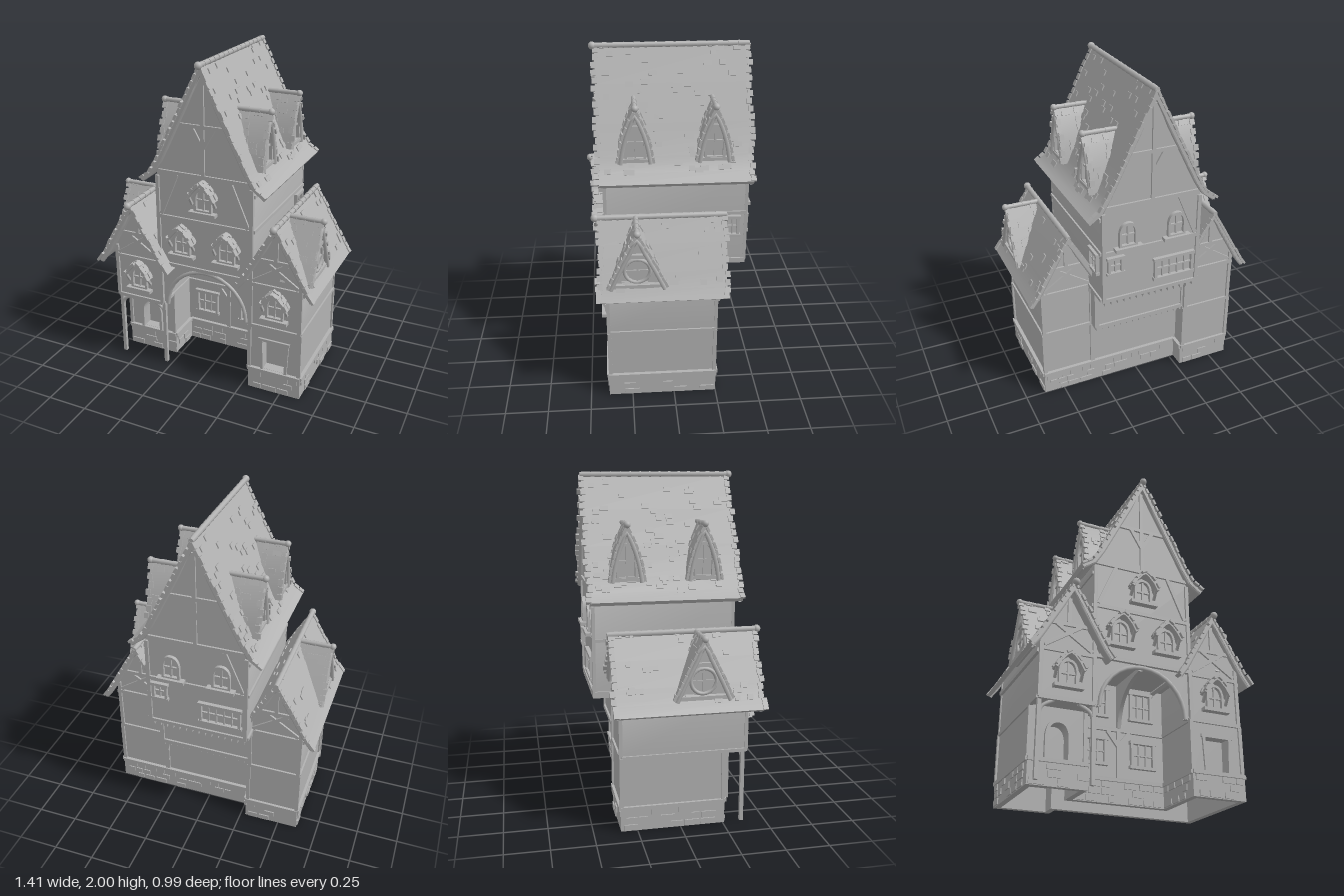
import * as THREE from 'three';
import { mergeGeometries, toCreasedNormals } from 'three/addons/utils/BufferGeometryUtils.js';

const V = (x, y, z) => new THREE.Vector3(x, y, z);
let seed = 7;
const rnd = () => (seed = (seed * 16807) % 2147483647) / 2147483647;

export function createModel() {
  const plaster = new THREE.MeshStandardMaterial({ color: 0xb2b2b2, side: THREE.DoubleSide });
  plaster.name = 'stoneGrey';
  const model = new THREE.Group();
  model.name = 'timberHouse';

  // ---- helpers ----
  const add = (parent, name, geos) => {
    const list = [].concat(geos).map(g => (g.index ? g.toNonIndexed() : g));
    const mesh = new THREE.Mesh(list.length > 1 ? mergeGeometries(list) : list[0], plaster);
    mesh.name = name;
    parent.add(mesh);
    return mesh;
  };
  const group = (parent, name) => {
    const g = new THREE.Group();
    g.name = name;
    parent.add(g);
    return g;
  };
  const box = (x0, x1, y0, y1, z0, z1) =>
    new THREE.BoxGeometry(x1 - x0, y1 - y0, z1 - z0).translate((x0 + x1) / 2, (y0 + y1) / 2, (z0 + z1) / 2);
  const poly = pts => new THREE.Shape(pts.map(p => new THREE.Vector2(p[0], p[1])));
  const slab = (shape, z0, z1) => toCreasedNormals(
    new THREE.ExtrudeGeometry(shape, { depth: z1 - z0, bevelEnabled: false, curveSegments: 10 }).translate(0, 0, z0), 0.6);
  const beam = (a, b, w = 0.026, d = w) => {
    const dir = b.clone().sub(a);
    const q = new THREE.Quaternion().setFromUnitVectors(V(0, 1, 0), dir.clone().normalize());
    return new THREE.BoxGeometry(w, dir.length(), d).applyQuaternion(q)
      .translate((a.x + b.x) / 2, (a.y + b.y) / 2, (a.z + b.z) / 2);
  };
  // timbers drawn on a wall plane, each [x0, y0, x1, y1]
  const timbers = (list, z, w) => list.map(p => beam(V(p[0], p[1], z), V(p[2], p[3], z), w, 0.02));
  const tube = (pts, r) => new THREE.TubeGeometry(new THREE.CatmullRomCurve3(pts), 16, r, 6);
  const archShape = (w, y0, ys, yp) => {
    const s = new THREE.Shape();
    s.moveTo(-w, y0); s.lineTo(w, y0); s.lineTo(w, ys);
    s.quadraticCurveTo(w * 0.85, yp, 0, yp);
    s.quadraticCurveTo(-w * 0.85, yp, -w, ys);
    s.closePath();
    return s;
  };
  // symmetric shell from a half profile running apex to eave
  const inset = (pts, t) => pts.map((p, i) => {
    const a = pts[Math.max(i - 1, 0)], b = pts[Math.min(i + 1, pts.length - 1)];
    const dx = b[0] - a[0], dy = b[1] - a[1], l = Math.hypot(dx, dy);
    return i === 0 ? [0, p[1] - t * l / dx] : [p[0] + t * dy / l, p[1] - t * dx / l];
  });
  const mirror = pts => [...pts.slice(1).reverse().map(p => [-p[0], p[1]]), ...pts];
  const shell = (pts, t, z0, z1) =>
    slab(poly([...mirror(pts), ...mirror(inset(pts, t)).reverse()]), z0, z1);
  // overlapping round ridge tiles with a ball at the front
  const ridge = (y, z0, z1, r) => {
    const n = Math.round((z1 - z0) / 0.06), len = (z1 - z0) / n, out = [];
    for (let i = 0; i < n; i++)
      out.push(new THREE.CylinderGeometry(r, r * 0.82, len * 1.08, 8).rotateX(Math.PI / 2).translate(0, y, z0 + (i + 0.5) * len));
    out.push(new THREE.SphereGeometry(r * 1.25, 10, 8).translate(0, y, z1));
    return out;
  };
  // loose shingles over the slopes and a ragged row along each gable edge
  const shingles = (pts, z0, z1, count) => {
    const out = [];
    const tile = (i, t, s, z, w, len) => {
      const a = pts[i], b = pts[i + 1];
      out.push(new THREE.BoxGeometry(len, 0.014, w)
        .rotateZ(s * Math.atan2(b[1] - a[1], b[0] - a[0]))
        .translate(s * (a[0] + (b[0] - a[0]) * t), a[1] + (b[1] - a[1]) * t, z));
    };
    for (const s of [-1, 1]) {
      for (let k = 0; k < count; k++)
        tile(Math.floor(rnd() * (pts.length - 2)), rnd(), s, z0 + 0.04 + rnd() * (z1 - z0 - 0.08), 0.025 + rnd() * 0.03, 0.03);
      for (let i = 0; i < pts.length - 1; i++) {
        const n = Math.max(1, Math.round(Math.hypot(pts[i + 1][0] - pts[i][0], pts[i + 1][1] - pts[i][1]) / 0.042));
        for (let k = 0; k < n; k++)
          for (const z of [z0, z1]) tile(i, (k + 0.5) / n, s, z + (rnd() - 0.5) * 0.02, 0.03, 0.034);
      }
    }
    return out;
  };
  const verge = (pts, z) => tube(mirror(inset(pts, 0.02)).map(p => V(p[0], p[1], z)), 0.013);

  // arched window facing +z, with an optional little gabled hood
  const archWindow = (parent, x, y, z, hooded, back) => {
    const g = group(parent, 'archedWindow');
    g.position.set(x, y, z);
    if (back) g.rotation.y = Math.PI;
    const frame = archShape(0.056, -0.085, 0.0, 0.065);
    frame.holes.push(archShape(0.042, -0.075, 0.0, 0.05));
    add(g, 'windowFrame', [slab(frame, 0, 0.022), box(-0.005, 0.005, -0.08, 0.05, 0, 0.012), box(-0.04, 0.04, -0.02, -0.01, 0, 0.012)]);
    add(g, 'windowSill', box(-0.085, 0.085, -0.105, -0.085, 0, 0.04));
    if (!hooded) return;
    const pts = [[0, 0.105], [0.03, 0.085], [0.065, 0.045], [0.09, 0.0]];
    add(g, 'windowHood', [shell(pts, 0.016, 0, 0.06), ...shingles(pts, 0.012, 0.055, 2)]);
    add(g, 'hoodBrackets', [-1, 1].map(s => beam(V(s * 0.075, -0.05, 0.005), V(s * 0.075, 0.01, 0.045), 0.014)));
  };
  const gridWindow = (parent, x, y, z, w, h, cols, ry = 0) => {
    const g = group(parent, 'squareWindow');
    g.position.set(x, y, z);
    g.rotation.y = ry;
    const out = [];
    for (const s of [-1, 1])
      out.push(box(s * w - 0.008, s * w + 0.008, -h, h, 0, 0.022), box(-w - 0.015, w + 0.015, s * h - 0.009, s * h + 0.009, 0, 0.024));
    for (let i = 1; i < cols; i++) out.push(box(-w + 2 * w * i / cols - 0.004, -w + 2 * w * i / cols + 0.004, -h, h, 0, 0.012));
    out.push(box(-w, w, -0.004, 0.004, 0, 0.012));
    add(g, 'windowBars', out);
  };

  // ---- hollow stone footing with ledge and bricks ----
  const foot = [[-0.62, 0.26], [-0.28, 0.26], [-0.28, 0.04], [0.29, 0.04], [0.29, 0.39], [0.625, 0.39],
    [0.625, -0.25], [-0.28, -0.25], [-0.28, -0.345], [-0.62, -0.345]];
  const rim = foot.map(([x, z], i) => {
    const p = foot[(i + 9) % 10], n = foot[(i + 1) % 10];
    const side = (a, b) => [-Math.sign(b[1] - a[1]), Math.sign(b[0] - a[0])];
    const u = side(p, [x, z]), v = side([x, z], n);
    return [x - (u[0] + v[0]) * 0.035, z - (u[1] + v[1]) * 0.035];
  });
  const flip = pts => pts.map(p => [p[0], -p[1]]);
  const footShape = poly(flip(foot));
  footShape.holes.push(poly(flip(rim)));
  add(model, 'stoneFooting', slab(footShape, 0, 0.14).rotateX(-Math.PI / 2));
  const bricks = [], ledge = [];
  foot.forEach(([x, z], i) => {
    const [nx, nz] = foot[(i + 1) % 10], len = Math.hypot(nx - x, nz - z);
    ledge.push(beam(V(x, 0.138, z), V(nx, 0.138, nz), 0.022));
    for (let row = 0; row < 3; row++)
      for (let d = 0.01 + rnd() * 0.03; d < len - 0.06;) {
        const w = 0.04 + rnd() * 0.05, t = (d + w / 2) / len;
        if (rnd() < 0.6) bricks.push(new THREE.BoxGeometry(Math.min(w, len - d), 0.034, 0.014)
          .rotateY(Math.atan2(z - nz, nx - x)).translate(x + (nx - x) * t, 0.022 + row * 0.043, z + (nz - z) * t));
        d += w + 0.012;
      }
  });
  add(model, 'footingLedge', ledge);
  add(model, 'footingBricks', bricks);

  // ---- side wings: porch wing on -x, doorway wing on +x ----
  const wingRoof = [[0, 1.11], [0.08, 0.975], [0.16, 0.835], [0.205, 0.755], [0.245, 0.7]];
  const wings = [
    { name: 'porchWing', s: -1, back: -0.34, low: 0.25, r0: -0.375, r1: 0.46, dormer: 0.12, arched: true },
    { name: 'doorWing', s: 1, back: -0.24, low: 0.38, r0: -0.295, r1: 0.42, dormer: 0.21, arched: false },
  ];
  for (const w of wings) {
    const g = group(model, w.name);
    g.position.x = w.s * 0.455;
    const lower = poly([[-0.16, 0.14], [0.16, 0.14], [0.16, 0.44], [-0.16, 0.44]]);
    lower.holes.push(w.arched ? archShape(0.06, 0.15, 0.28, 0.35) : poly([[-0.07, 0.15], [0.07, 0.15], [0.075, 0.35], [-0.075, 0.35]]));
    add(g, 'groundFloorFront', slab(lower, w.low - 0.06, w.low));
    add(g, 'groundFloor', box(-0.16, 0.16, 0.14, 0.44, w.back, w.low - 0.06));
    add(g, 'upperFloor', slab(poly([[-0.16, 0.44], [0.16, 0.44], [0.16, 0.79], [0, 1.07], [-0.16, 0.79]]), w.back, 0.38));
    if (w.arched) {
      const ring = archShape(0.075, 0.14, 0.28, 0.37);
      ring.holes.push(archShape(0.058, 0.145, 0.28, 0.35));
      add(g, 'doorFrame', slab(ring, w.low, w.low + 0.02));
      add(g, 'porchPosts', [-0.15, 0.16].flatMap(x => [beam(V(x, 0, 0.365), V(x, 0.44, 0.365), 0.022),
        tube([V(x, 0.31, 0.365), V(x * 0.9, 0.39, 0.365), V(x * 0.45, 0.435, 0.365)], 0.011)]));
    } else {
      add(g, 'doorFrame', timbers([[-0.075, 0.14, -0.085, 0.36], [0.075, 0.14, 0.085, 0.36], [-0.1, 0.355, 0.1, 0.355]], 0.382, 0.018));
    }
    const gable = [[-0.16, 0.44, 0.16, 0.44], [-0.16, 0.72, 0.16, 0.72], [-0.105, 0.885, 0.105, 0.885], [0, 0.89, 0, 1.05],
      [-0.155, 0.44, -0.155, 0.79], [0.155, 0.44, 0.155, 0.79], [-0.14, 0.74, 0.07, 0.88], [0.14, 0.74, -0.07, 0.88]];
    add(g, 'gableTimbers', [...timbers(gable, 0.382, 0.022), ...timbers(gable, w.back - 0.002, 0.022)]);
    const sides = [];
    for (const x of [-0.16, 0.16]) {
      sides.push(beam(V(x, 0.44, w.back), V(x, 0.44, 0.38), 0.02));
      for (const z of [w.back, w.low]) sides.push(beam(V(x, 0.14, z), V(x, 0.44, z), 0.022));
    }
    sides.push(beam(V(w.s * 0.165, 0.705, w.back), V(w.s * 0.165, 0.705, 0.38), 0.024));
    add(g, 'wallTimbers', sides);
    archWindow(g, 0, 0.605, 0.38, true);
    add(g, 'wingRoof', shell(wingRoof, 0.022, w.r0, w.r1));
    add(g, 'wingShingles', shingles(wingRoof, w.r0, w.r1, 24));
    add(g, 'wingRidge', ridge(1.11, w.r0 - 0.012, w.r1 + 0.02, 0.018));
    add(g, 'bargeBoards', [verge(wingRoof, w.r1 - 0.015), verge(wingRoof, w.r0 + 0.015)]);

    // triangular dormer with a round window
    const d = group(g, 'triangleDormer');
    d.position.z = w.dormer;
    d.rotation.y = w.s * Math.PI / 2;
    const pts = [[0, 1.11], [0.06, 0.995], [0.12, 0.875], [0.17, 0.765]];
    add(d, 'dormerRoof', [shell(pts, 0.018, 0.02, 0.205), ...shingles(pts, 0.04, 0.2, 5)]);
    add(d, 'dormerWall', slab(poly([[-0.155, 0.765], [0.155, 0.765], [0, 1.075]]), 0.02, 0.185));
    add(d, 'dormerTimbers', [...timbers([[-0.17, 0.775, 0.17, 0.775], [-0.055, 0.965, 0.055, 0.965]], 0.195, 0.022), verge(pts, 0.205)]);
    add(d, 'roundWindow', [new THREE.TorusGeometry(0.072, 0.011, 6, 24).translate(0, 0.87, 0.19),
      box(-0.005, 0.005, 0.8, 0.94, 0.18, 0.193), box(-0.07, 0.07, 0.865, 0.875, 0.18, 0.193)]);
    add(d, 'dormerRidge', ridge(1.11, 0, 0.215, 0.016));
  }

  // ---- middle block between the wings, with a jettied back floor ----
  const mid = group(model, 'middleBlock');
  add(mid, 'groundWalls', box(-0.3, 0.3, 0.14, 0.73, -0.24, 0.03));
  add(mid, 'jettyFloor', box(-0.305, 0.305, 0.44, 0.73, -0.31, -0.2));
  for (const s of [-1, 1]) {
    gridWindow(mid, s * 0.155, 0.3, 0.03, 0.07, 0.075, 3);
    gridWindow(mid, s * 0.145, 0.6, 0.03, 0.065, 0.085, 3);
  }
  add(mid, 'frontTimbers', timbers([[-0.29, 0.44, 0.29, 0.44], [0, 0.14, 0, 0.72], [0, 0.34, 0.07, 0.43], [0, 0.34, -0.07, 0.43]], 0.035, 0.024));
  add(mid, 'backTimbers', [...timbers([[-0.3, 0.45, 0.3, 0.45], [-0.295, 0.45, -0.295, 0.72], [0.295, 0.45, 0.295, 0.72]], -0.312),
    ...timbers([[0.3, 0.14, 0.3, 0.72]], -0.242)]);
  const porch = poly([[-0.295, 0.44], [-0.265, 0.44]]);
  porch.absellipse(0, 0.44, 0.265, 0.27, Math.PI, 0, true);
  porch.lineTo(0.295, 0.44); porch.lineTo(0.295, 0.72); porch.lineTo(-0.295, 0.72);
  add(mid, 'porchArch', slab(porch, 0.345, 0.37));
  add(mid, 'archTrim', tube(Array.from({ length: 13 }, (_, i) => V(-0.265 * Math.cos(i * Math.PI / 12), 0.44 + 0.27 * Math.sin(i * Math.PI / 12), 0.37)), 0.013));
  const bracket = poly([[0.03, 0.45], [0.05, 0.45]]);
  bracket.quadraticCurveTo(0.08, 0.68, 0.345, 0.7);
  bracket.lineTo(0.345, 0.72); bracket.lineTo(0.03, 0.72);
  add(mid, 'porchBracket', slab(bracket, -0.012, 0.012).rotateY(-Math.PI / 2));
  const joists = [];
  for (let i = 0; i < 15; i++) {
    const x = -0.287 + i * 0.041;
    joists.push(box(x - 0.01, x + 0.01, 0.695, 0.725, -0.455, -0.3), box(x - 0.01, x + 0.01, 0.42, 0.445, -0.315, -0.23));
  }
  add(mid, 'joists', joists);

  // ---- tall central tower ----
  const tower = group(model, 'tower');
  add(tower, 'towerWalls', slab(poly([[-0.31, 0.72], [0.31, 0.72], [0.31, 1.3], [0, 1.93], [-0.31, 1.3]]), -0.445, 0.38));
  const upper = [[-0.31, 0.73, 0.31, 0.73], [-0.31, 1.045, 0.31, 1.045], [-0.3, 1.33, 0.3, 1.33], [-0.15, 1.625, 0.15, 1.625],
    [-0.3, 0.73, -0.3, 1.3], [0.3, 0.73, 0.3, 1.3], [0, 1.34, 0, 1.9]];
  for (const s of [-1, 1]) upper.push([0, 1.5, s * 0.07, 1.62], [s * 0.28, 1.06, s * 0.17, 1.32]);
  add(tower, 'towerTimbers', [...timbers(upper, 0.382, 0.022), ...timbers(upper.slice(0, 9), -0.447, 0.022)]);
  add(tower, 'towerSideTimbers', [-0.31, 0.31].flatMap(x => [0.73, 1.045, 1.26].map(y => beam(V(x, y, -0.445), V(x, y, 0.38), 0.02))));
  archWindow(tower, 0, 1.205, 0.38, true);
  for (const s of [-1, 1]) {
    archWindow(tower, s * 0.145, 0.905, 0.38, true);
    archWindow(tower, s * 0.153, 1.16, -0.445, false, true);
  }
  gridWindow(tower, -0.145, 0.87, -0.445, 0.12, 0.065, 5, Math.PI);
  gridWindow(tower, 0.23, 0.96, -0.445, 0.04, 0.05, 2, Math.PI);
  gridWindow(tower, 0.31, 0.96, -0.35, 0.05, 0.06, 3, Math.PI / 2);

  const mainRoof = [[0, 1.975], [0.1, 1.775], [0.2, 1.575], [0.285, 1.405], [0.335, 1.325], [0.4, 1.28]];
  add(tower, 'mainRoof', shell(mainRoof, 0.024, -0.47, 0.415));
  add(tower, 'mainShingles', shingles(mainRoof, -0.47, 0.415, 60));
  add(tower, 'mainRidge', ridge(1.975, -0.475, 0.425, 0.018));
  add(tower, 'bargeBoards', [verge(mainRoof, 0.4), verge(mainRoof, -0.455)]);

  // pointed dormers, two on each slope
  const hood = [[0, 1.7], [0.03, 1.645], [0.065, 1.56], [0.09, 1.47], [0.105, 1.38]];
  for (const s of [-1, 1]) for (const z of [0.2, -0.25]) {
    const d = group(tower, 'pointedDormer');
    d.position.z = z;
    d.rotation.y = s * Math.PI / 2;
    add(d, 'dormerRoof', [shell(hood, 0.016, 0.13, 0.33), ...shingles(hood, 0.2, 0.325, 3)]);
    add(d, 'dormerWall', slab(poly(mirror(inset(hood, 0.012))), 0.13, 0.305));
    add(d, 'dormerRidge', ridge(1.705, 0.13, 0.335, 0.016));
    add(d, 'dormerTrim', [verge(hood, 0.328), box(-0.09, 0.09, 1.385, 1.405, 0.3, 0.33)]);
    const frame = archShape(0.06, 1.4, 1.51, 1.6);
    frame.holes.push(archShape(0.046, 1.41, 1.51, 1.585));
    add(d, 'dormerWindow', [slab(frame, 0.3, 0.325), box(-0.005, 0.005, 1.4, 1.59, 0.3, 0.315), box(-0.05, 0.05, 1.495, 1.505, 0.3, 0.315)]);
  }
  return model;
}
